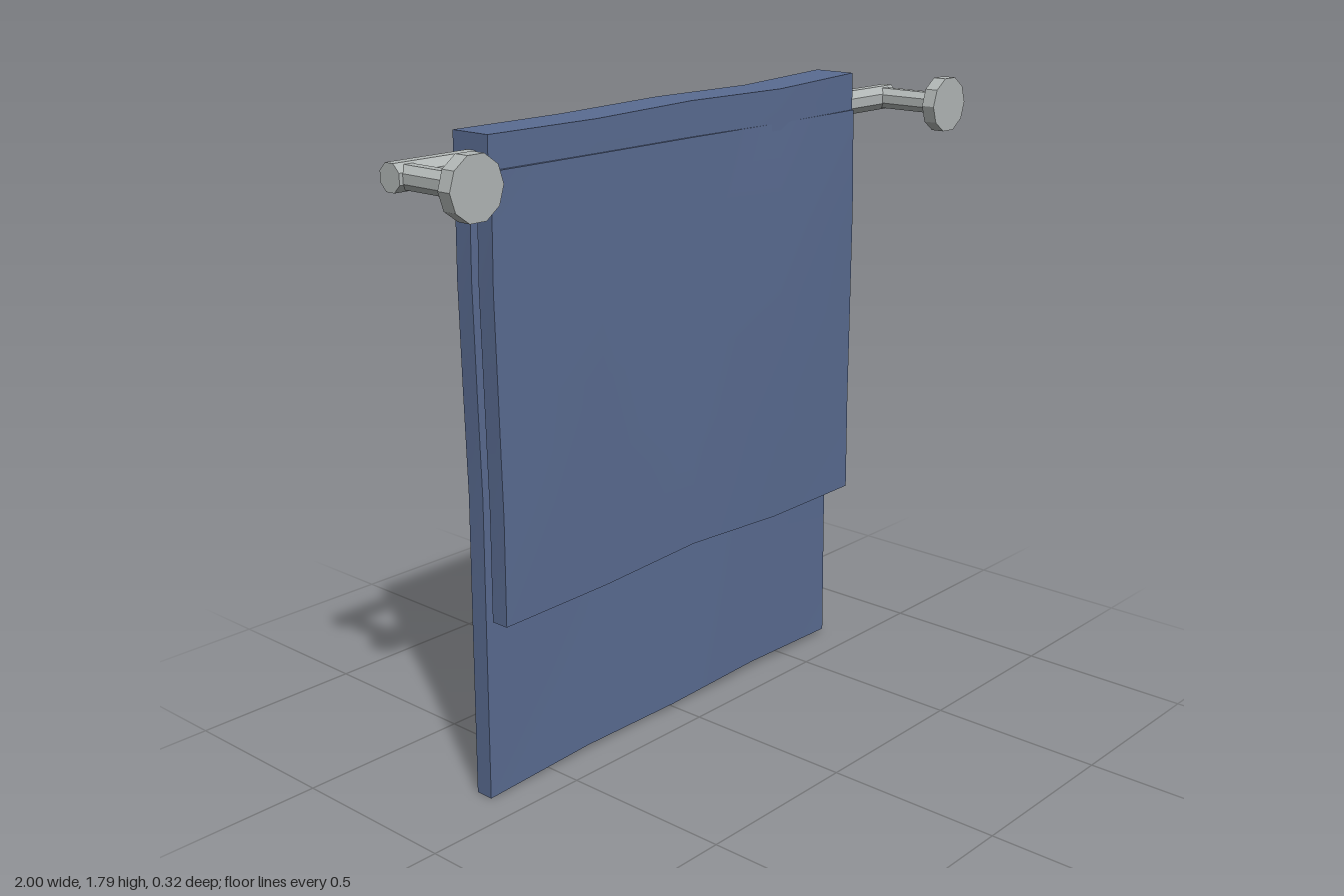
import * as THREE from 'three';

const towelBlue = new THREE.MeshStandardMaterial({ color: 0x5a6c92 });
towelBlue.name = 'towelBlue';
const metalGrey = new THREE.MeshStandardMaterial({ color: 0xb3b8b7, flatShading: true });
metalGrey.name = 'metalGrey';

const BAR_Y = 1.69, BAR_Z = -0.09;

// Linear lookup through values at five even stations, t in 0..1
function sample(values, t) {
  const f = THREE.MathUtils.clamp(t, 0, 1) * (values.length - 1);
  const i = Math.min(Math.floor(f), values.length - 2);
  return values[i] + (values[i + 1] - values[i]) * (f - i);
}

// Slab of cloth between y0..y1 and z0..z1; rule(point, u) moves its vertices
function clothSlab(name, y0, y1, z0, z1, rows, rule) {
  const geo = new THREE.BoxGeometry(1.41, y1 - y0, z1 - z0, 4, rows, 1);
  geo.translate(0, (y0 + y1) / 2, (z0 + z1) / 2);
  const pos = geo.attributes.position, p = new THREE.Vector3();
  for (let i = 0; i < pos.count; i++) {
    p.fromBufferAttribute(pos, i);
    rule(p, p.x / 1.41 + 0.5, (p.y - y0) / (y1 - y0));
    pos.setXYZ(i, p.x, p.y, p.z);
  }
  geo.computeVertexNormals();
  const mesh = new THREE.Mesh(geo, towelBlue);
  mesh.name = name;
  return mesh;
}

function rod(name, radius, length, sides, turn, axis) {
  const geo = new THREE.CylinderGeometry(radius, radius, length, sides);
  geo.rotateY(turn);
  if (axis === 'x') geo.rotateZ(Math.PI / 2);
  else geo.rotateX(Math.PI / 2);
  const mesh = new THREE.Mesh(geo, metalGrey);
  mesh.name = name;
  return mesh;
}

export function createModel() {
  const model = new THREE.Group();
  model.name = 'towelRail';

  // Rail
  const rail = rod('rail', 0.037, 1.92, 8, Math.PI / 8, 'x');
  rail.position.set(0, BAR_Y, BAR_Z);
  model.add(rail);

  // Wall posts and round mounting plates
  for (const side of [-1, 1]) {
    const bracket = new THREE.Group();
    bracket.name = side > 0 ? 'leftBracket' : 'rightBracket';
    const post = rod('post', 0.032, 0.22, 8, Math.PI / 8, 'z');
    post.position.set(0, 0, 0.02);
    const plate = rod('mountingPlate', 0.08, 0.04, 10, Math.PI / 2, 'z');
    plate.position.set(0, 0, 0.142);
    bracket.add(post, plate);
    bracket.position.set(side * 0.92, BAR_Y, 0);
    model.add(bracket);
  }

  // Slight waviness of the side edges with height
  const sway = (p) => {
    if (p.x < -0.6) p.x += sample([-0.015, -0.01, -0.004, -0.015, -0.006], p.y / 1.77);
    if (p.x > 0.6) p.x += sample([0.006, 0.005, 0, 0.005, -0.008], p.y / 1.77);
  };

  const towel = new THREE.Group();
  towel.name = 'towel';

  // Fold over the rail
  towel.add(clothSlab('towelFold', 1.66, 1.77, -0.155, -0.028, 1, (p, u, v) => {
    sway(p);
    p.y += v > 0.5 ? sample([-0.004, -0.004, 0.005, 0.004, 0.016], u) : 0;
    p.z += p.z > BAR_Z ? sample([-0.004, 0.002, 0, 0.015, 0.002], u)
      : sample([0, -0.003, 0.002, 0.012, 0], u);
  }));

  // Short front panel
  towel.add(clothSlab('frontPanel', 0.515, 1.68, -0.073, -0.021, 4, (p, u, v) => {
    sway(p);
    p.y += (1 - v) * sample([0, 0.005, 0.02, 0.005, 0.004], u);
    const bulge = sample([0.4, 0.8, 1, 1, 0.4], v);
    p.z += bulge * sample([-0.001, 0.003, 0.001, 0.018, 0], u);
  }));

  // Long back panel
  towel.add(clothSlab('backPanel', 0, 1.68, -0.153, -0.1, 6, (p, u, v) => {
    sway(p);
    p.y += (1 - v) * sample([0, 0.014, 0.01, 0.022, 0.012], u);
    const bulge = sample([0.2, 0.8, 1, 1, 0.4], v);
    p.z += bulge * sample([0.001, -0.006, -0.008, 0.009, -0.006], u);
  }));

  model.add(towel);
  return model;
}
